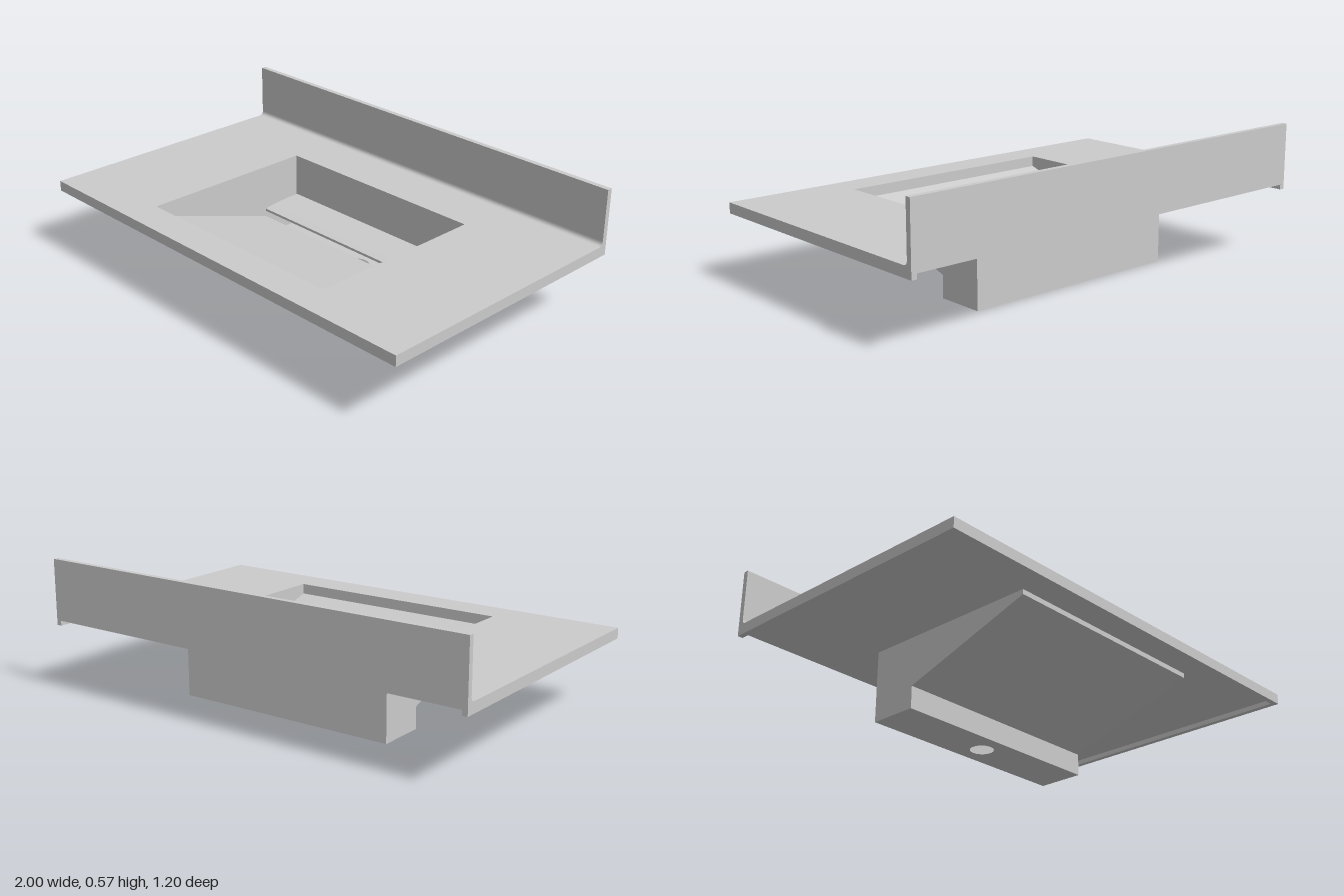
import * as THREE from 'three';

const material = new THREE.MeshStandardMaterial({ color: 0xcccccc });
const sheetMaterial = new THREE.MeshStandardMaterial({ color: 0xcccccc, side: THREE.DoubleSide });

const TOP = 0.33, UNDER = 0.306, SKIRT = 0.285; // counter heights
const RIM = 0.023;                              // skirt thickness
const HALF = 0.5, BACK = -0.338, FRONT = 0.457, STEP = -0.13; // basin limits

const rect = (C, x0, y0, x1, y1) => {
  const s = new C();
  s.moveTo(x0, y0).lineTo(x1, y0).lineTo(x1, y1).lineTo(x0, y1).closePath();
  return s;
};

export function createModel() {
  const model = new THREE.Group();
  const add = (name, geometry, mat = material, parent = model) => {
    const mesh = new THREE.Mesh(geometry, mat);
    mesh.name = name;
    parent.add(mesh);
    return mesh;
  };

  // Side profile drawn in (z, y), swept across the width
  const sweep = (shape, width) =>
    new THREE.ExtrudeGeometry(shape, { depth: width, bevelEnabled: false, curveSegments: 8 })
      .rotateY(-Math.PI / 2).translate(width / 2, 0, 0);

  // Flat panel across the basin between two (z, y) points
  const panel = ([z0, y0], [z1, y1]) => {
    const g = new THREE.PlaneGeometry(2 * HALF, Math.hypot(z1 - z0, y1 - y0));
    g.rotateX(Math.atan2(z1 - z0, y1 - y0));
    return g.translate(0, (y0 + y1) / 2, (z0 + z1) / 2);
  };

  // Counter plate with the basin opening
  const plate = rect(THREE.Shape, -1, -0.6, 1, 0.6);
  plate.holes.push(rect(THREE.Path, -HALF, BACK, HALF, FRONT));
  add('countertop', new THREE.ExtrudeGeometry(plate, { depth: TOP - UNDER, bevelEnabled: false })
    .rotateX(Math.PI / 2).translate(0, TOP, 0));

  // Skirt under the front and side edges, open at the back
  const drop = UNDER - SKIRT, skirtY = (UNDER + SKIRT) / 2;
  add('frontSkirt', new THREE.BoxGeometry(2, drop, RIM).translate(0, skirtY, 0.6 - RIM / 2));
  for (const side of [-1, 1]) {
    add(side > 0 ? 'leftSkirt' : 'rightSkirt',
      new THREE.BoxGeometry(RIM, drop, 1.2 - RIM).translate(side * (1 - RIM / 2), skirtY, -RIM / 2));
  }

  // Backsplash with a cove at its foot
  const splash = new THREE.Shape();
  splash.moveTo(-0.6, TOP).lineTo(-0.556, TOP)
    .quadraticCurveTo(-0.577, TOP, -0.577, TOP + 0.021)
    .lineTo(-0.577, 0.57).lineTo(-0.6, 0.57).closePath();
  add('backsplash', sweep(splash, 2));

  // Basin: sloping ramp down to a drain trough
  const basin = new THREE.Group();
  basin.name = 'basin';
  model.add(basin);
  const addSheet = (name, geometry) => add(name, geometry, sheetMaterial, basin);
  addSheet('frontLip', panel([FRONT, SKIRT], [FRONT, UNDER]));
  addSheet('ramp', panel([FRONT, SKIRT], [STEP, 0.095]));
  addSheet('rampEdge', panel([STEP, 0.095], [STEP - 0.015, 0.09]));
  addSheet('troughFront', panel([STEP, 0.095], [STEP, 0]));
  addSheet('basinBack', panel([BACK, 0], [BACK, UNDER]));

  const wall = new THREE.Shape([[BACK, 0], [STEP, 0], [STEP, 0.095], [FRONT, SKIRT], [FRONT, UNDER], [BACK, UNDER]]
    .map(p => new THREE.Vector2(...p)));
  for (const side of [-1, 1]) {
    addSheet(side > 0 ? 'basinLeftWall' : 'basinRightWall',
      new THREE.ShapeGeometry(wall).rotateY(-Math.PI / 2).translate(side * HALF, 0, 0));
  }

  // Trough floor with the drain hole
  const floor = rect(THREE.Shape, -HALF, BACK, HALF, STEP);
  floor.holes.push(new THREE.Path().absarc(0, (BACK + STEP) / 2, 0.05, 0, Math.PI * 2, true));
  addSheet('troughFloor', new THREE.ShapeGeometry(floor, 32).rotateX(Math.PI / 2));

  // Gently curved cover that hides the drain, leaving a slot above the ramp
  const cover = new THREE.Shape();
  cover.moveTo(BACK, 0.128).lineTo(-0.145, 0.116).lineTo(-0.145, 0.127)
    .quadraticCurveTo(-0.22, 0.14, BACK, 0.14).closePath();
  add('drainCover', sweep(cover, 2 * HALF - 0.004), material, basin);

  return model;
}
